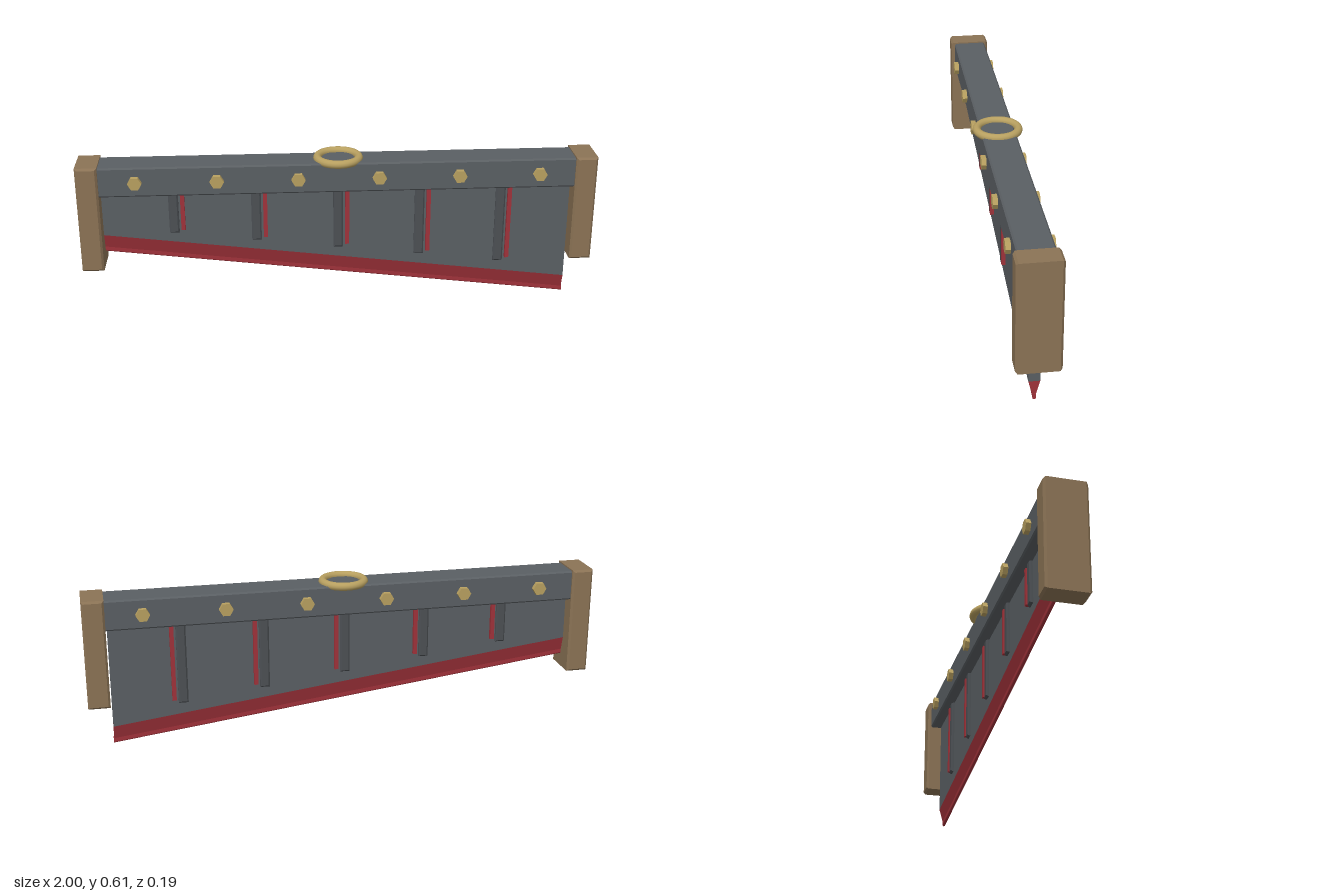
import * as THREE from 'three';

const SLOPE = -0.125; // fall of the cutting edge towards +x

export function createModel() {
  const root = new THREE.Group();
  root.name = 'slantedBlade';
  const mat = (name, color) => {
    const m = new THREE.MeshStandardMaterial({ color });
    m.name = name;
    return m;
  };
  const steel = mat('steel', 0x5a5f63);
  const darkSteel = mat('darkSteel', 0x4c5054);
  const red = mat('red', 0xa0323a);
  const wood = mat('wood', 0x8b7355);
  const brass = mat('brass', 0xb8a060);

  const add = (name, geo, material, x = 0, y = 0, z = 0) => {
    const mesh = new THREE.Mesh(geo, material);
    mesh.name = name;
    mesh.position.set(x, y, z);
    root.add(mesh);
    return mesh;
  };

  // Box with chamfered edges, centred on the origin
  const chamferBox = (w, h, d, c) => {
    const a = w / 2 - c, b = h / 2 - c;
    const shape = new THREE.Shape([[-a, -b], [a, -b], [a, b], [-a, b]].map(p => new THREE.Vector2(...p)));
    const geo = new THREE.ExtrudeGeometry(shape, {
      depth: d - 2 * c, bevelEnabled: true, bevelSize: c, bevelThickness: c, bevelSegments: 1,
    });
    return geo.translate(0, 0, -d / 2 + c);
  };

  // Cross-section in (z, y) swept along x; points below `limit` follow the slope
  const slantedBar = (points, x0, x1, limit = Infinity) => {
    const shape = new THREE.Shape(points.map(p => new THREE.Vector2(...p)));
    const geo = new THREE.ExtrudeGeometry(shape, { depth: x1 - x0, bevelEnabled: false });
    geo.rotateY(Math.PI / 2).translate(x0, 0, 0);
    const pos = geo.attributes.position;
    for (let i = 0; i < pos.count; i++) {
      if (pos.getY(i) < limit) pos.setY(i, pos.getY(i) + SLOPE * pos.getX(i));
    }
    geo.computeVertexNormals();
    return geo;
  };

  // Top rail and wooden end blocks
  add('topRail', chamferBox(1.86, 0.118, 0.132, 0.006), steel, 0, 0.537, 0);
  for (const s of [-1, 1]) {
    add(s > 0 ? 'leftEndBlock' : 'rightEndBlock', chamferBox(0.084, 0.426, 0.16, 0.008), wood, s * 0.958, 0.388, 0);
  }

  // Blade body, tapered cutting bevel and rounded lip
  const t = 0.021, edgeTop = 0.189, lip = 0.006, lipY = 0.12;
  add('bladeBody', slantedBar([[-t, edgeTop], [t, edgeTop], [t, 0.5], [-t, 0.5]], -0.914, 0.91, 0.4), steel);
  add('bladeBevel', slantedBar([[-0.003, 0.123], [0.003, 0.123], [t, edgeTop], [-t, edgeTop]], -0.914, 0.91), red);
  const lipProfile = [];
  for (let i = 0; i <= 6; i++) {
    const a = Math.PI + (i / 6) * Math.PI;
    lipProfile.push([lip * Math.cos(a), lipY + lip * Math.sin(a)]);
  }
  lipProfile.push([lip, lipY + 0.018], [-lip, lipY + 0.018]);
  add('cuttingLip', slantedBar(lipProfile, -0.914, 0.912), red);

  // Vertical ribs with red strips beside them, showing on both faces
  for (let i = -2; i <= 2; i++) {
    const x = i * 0.319;
    const bottom = 0.232 - 0.1215 * x;
    const ribH = 0.49 - bottom;
    add('rib', chamferBox(0.038, ribH, 0.066, 0.006), darkSteel, x - 0.001, bottom + ribH / 2, 0);
    const stripH = 0.472 - bottom - 0.014;
    add('redStrip', new THREE.BoxGeometry(0.016, stripH, 0.07), red, x + 0.034, 0.472 - stripH / 2, 0);
  }

  // Hexagonal bolts on both sides of the rail
  const boltGeo = new THREE.CylinderGeometry(0.027, 0.027, 0.024, 6).toNonIndexed();
  boltGeo.computeVertexNormals();
  boltGeo.rotateX(Math.PI / 2).rotateZ(Math.PI / 6);
  for (let i = 0; i < 6; i++) {
    for (const s of [-1, 1]) add('bolt', boltGeo, brass, -0.777 + i * 0.3108, 0.537, s * 0.073);
  }

  // Lifting ring lying on the rail
  add('liftingRing', new THREE.TorusGeometry(0.08, 0.016, 12, 40).rotateX(Math.PI / 2), brass, 0, 0.597, 0);

  return root;
}
